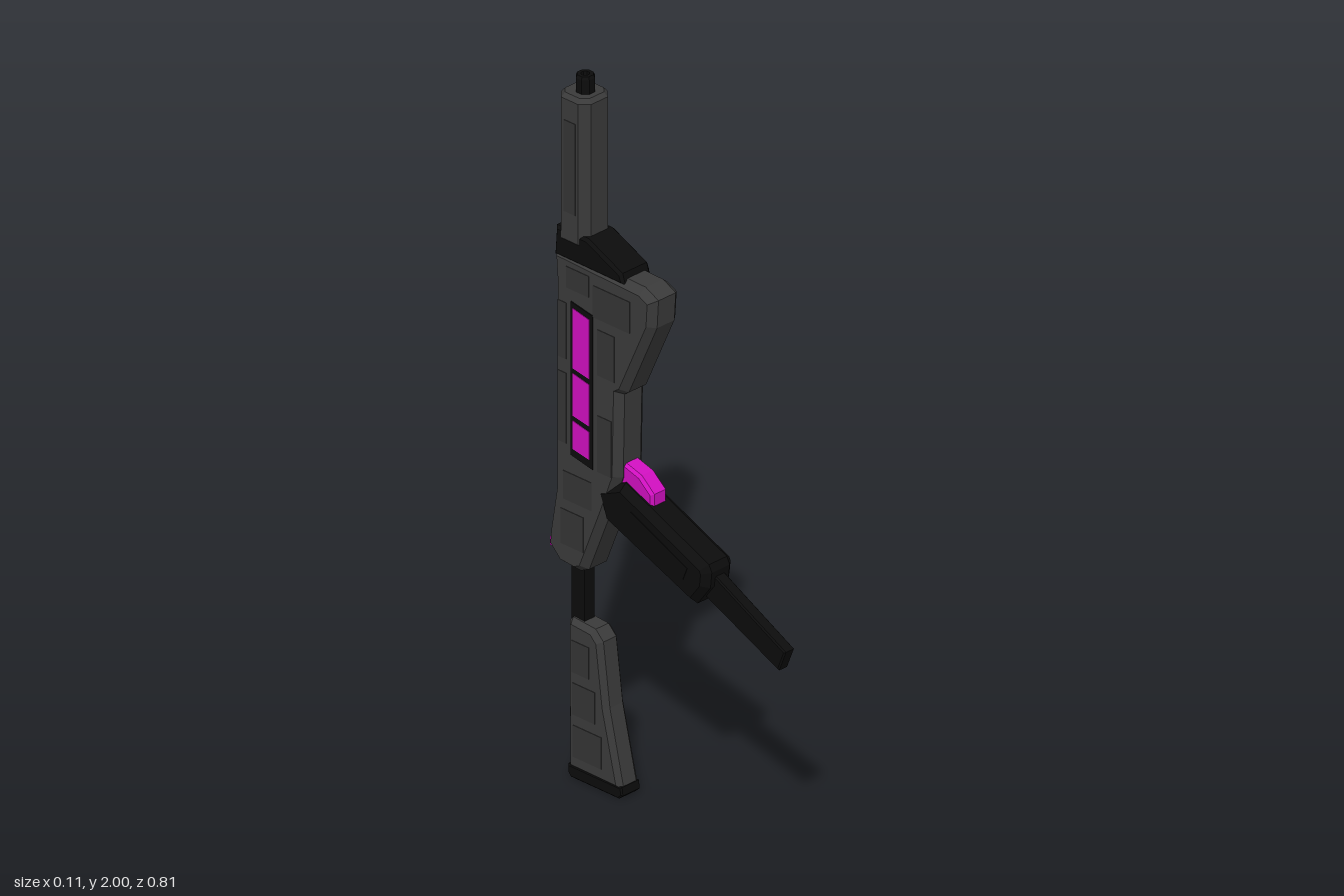
import * as THREE from 'three';

const mat = (color) => new THREE.MeshStandardMaterial({ color, flatShading: true });
const GREY = mat(0x3a3a3a), PLATE = mat(0x343434), BLACK = mat(0x0c0c0c), PINK = mat(0xd010c0);

export function createModel() {
  const model = new THREE.Group();

  const add = (name, geometry, material) => {
    const mesh = new THREE.Mesh(geometry, material);
    mesh.name = name;
    model.add(mesh);
    return mesh;
  };

  // Side profile of [z, y] points, extruded across x with chamfered rims
  const slab = (name, points, halfWidth, material, inset = 0.012, chamfer = inset, x = 0) => {
    const shape = new THREE.Shape(points.map(([z, y]) => new THREE.Vector2(z, y)));
    const depth = 2 * (halfWidth - chamfer);
    const geometry = new THREE.ExtrudeGeometry(shape, {
      depth, bevelEnabled: inset > 0, bevelSegments: 1,
      bevelSize: inset, bevelOffset: -inset, bevelThickness: chamfer,
    });
    geometry.translate(0, 0, -depth / 2).rotateY(-Math.PI / 2).translate(x, 0, 0);
    return add(name, geometry, material);
  };

  const box = (name, x, y, z, w, h, d, material) =>
    add(name, new THREE.BoxGeometry(w, h, d).translate(x, y, z), material);

  // Receiver, with the flared front grip and the swollen lower rear corner
  slab('receiver', [
    [-0.27, 0.615], [-0.30, 0.6], [-0.36, 0.605], [-0.405, 0.65], [-0.40, 0.70], [-0.38, 0.82],
    [-0.378, 1.42], [-0.383, 1.5], [-0.07, 1.492], [-0.025, 1.47], [-0.03, 1.39],
    [-0.13, 1.17], [-0.145, 1.16], [-0.15, 0.92], [-0.195, 0.8],
  ], 0.053, GREY, 0.018, 0.022);

  // Shallow armour plates on both flanks: [z, y, depth, height]
  const plates = [
    [-0.17, 1.4, 0.13, 0.09], [-0.29, 1.435, 0.08, 0.06], [-0.19, 1.26, 0.06, 0.13],
    [-0.345, 1.28, 0.03, 0.16], [-0.345, 1.06, 0.03, 0.2], [-0.195, 1.0, 0.05, 0.16],
    [-0.29, 0.84, 0.1, 0.08], [-0.31, 0.72, 0.08, 0.1],
  ];
  for (const side of [-1, 1])
    for (const [z, y, d, h] of plates)
      box('flankPlate', side * 0.0525, y, z, 0.004, h, d, PLATE);

  // Plates along the back edge of the receiver
  for (let i = 0; i < 5; i++)
    box('backPlate', 0, 0.9 + i * 0.125, -0.379, 0.05, 0.1, 0.006, PLATE);

  // Framed triple light on the right flank
  slab('lightFrame', [[-0.235, 0.92], [-0.312, 0.935], [-0.312, 1.372], [-0.235, 1.358]],
    0.004, BLACK, 0, 0, -0.052);
  for (const [low, high] of [[0.95, 1.03], [1.045, 1.165], [1.18, 1.35]])
    slab('lightPanel', [[-0.245, low - 0.005], [-0.304, low + 0.005], [-0.304, high + 0.006], [-0.245, high - 0.006]],
      0.004, PINK, 0, 0, -0.0535);
  box('rearLamp', -0.036, 0.655, -0.386, 0.014, 0.025, 0.022, PINK);

  // Small port on the left flank
  box('portFrame', 0.0525, 1.13, -0.25, 0.006, 0.17, 0.05, BLACK);
  box('portLight', 0.0535, 1.09, -0.25, 0.006, 0.08, 0.035, PINK);

  // Sloped collar under the barrel shroud
  slab('collar', [[-0.13, 1.48], [-0.378, 1.48], [-0.372, 1.565], [-0.26, 1.565], [-0.14, 1.51]],
    0.051, BLACK, 0.008);

  // Octagonal shroud, a square column with chamfered corners and a tapered end
  const a = 0.053, c = 0.03;
  const octagon = new THREE.Shape([[a, -c], [a, c], [c, a], [-c, a], [-a, c], [-a, -c], [-c, -a], [c, -a]]
    .map(([x, y]) => new THREE.Vector2(x, y)));
  const shroud = new THREE.ExtrudeGeometry(octagon, {
    depth: 0.40, bevelSegments: 1, bevelSize: 0.01, bevelOffset: -0.01, bevelThickness: 0.012,
  });
  shroud.rotateX(-Math.PI / 2).translate(0, 1.54, -0.318);
  add('barrelShroud', shroud, GREY);
  for (const side of [-1, 1])
    box('shroudPlate', side * 0.0525, 1.75, -0.318, 0.004, 0.26, 0.04, PLATE);

  // Hollow muzzle
  const muzzle = [[0.012, 1.96], [0.012, 2.0], [0.022, 2.0], [0.026, 1.992], [0.026, 1.94]]
    .reverse().map(([r, y]) => new THREE.Vector2(r, y));
  add('muzzle', new THREE.LatheGeometry(muzzle, 8, Math.PI / 8).translate(0, 0, -0.315), BLACK);

  // Slanted handle with its thin rod, and the trigger tucked above it
  slab('handle', [[-0.14, 0.91], [0.155, 0.785], [0.165, 0.765], [0.16, 0.72], [0.115, 0.66], [-0.2, 0.785], [-0.23, 0.87]],
    0.054, BLACK, 0.018, 0.022);
  for (const side of [-1, 1])
    slab('handleRib', [[-0.10, 0.85], [0.10, 0.762], [0.085, 0.725], [-0.115, 0.812]],
      0.003, BLACK, 0, 0, side * 0.053);
  slab('handleRod', [[0.1, 0.78], [0.41, 0.622], [0.386, 0.562], [0.08, 0.70]], 0.018, BLACK, 0.004);
  slab('trigger', [[-0.17, 0.87], [-0.05, 0.865], [-0.05, 0.905], [-0.095, 0.943], [-0.155, 0.96]],
    0.028, PINK, 0.008);

  // Stock on its connecting rod, with a dark butt pad
  box('stockRod', 0, 0.525, -0.323, 0.036, 0.2, 0.046, BLACK);
  slab('stock', [
    [-0.155, 0.025], [-0.345, 0.025], [-0.347, 0.44], [-0.335, 0.453], [-0.255, 0.447],
    [-0.228, 0.42], [-0.205, 0.24],
  ], 0.037, GREY, 0.014);
  slab('buttPad', [[-0.152, 0.012], [-0.165, 0], [-0.335, 0], [-0.345, 0.012], [-0.345, 0.035], [-0.155, 0.035]],
    0.034, BLACK, 0.004);
  for (const side of [-1, 1])
    for (let i = 0; i < 3; i++)
      box('stockPlate', side * 0.0365, 0.11 + i * 0.12, -0.272 - i * 0.012, 0.004, 0.09, 0.10 - i * 0.02, PLATE);

  return model;
}
